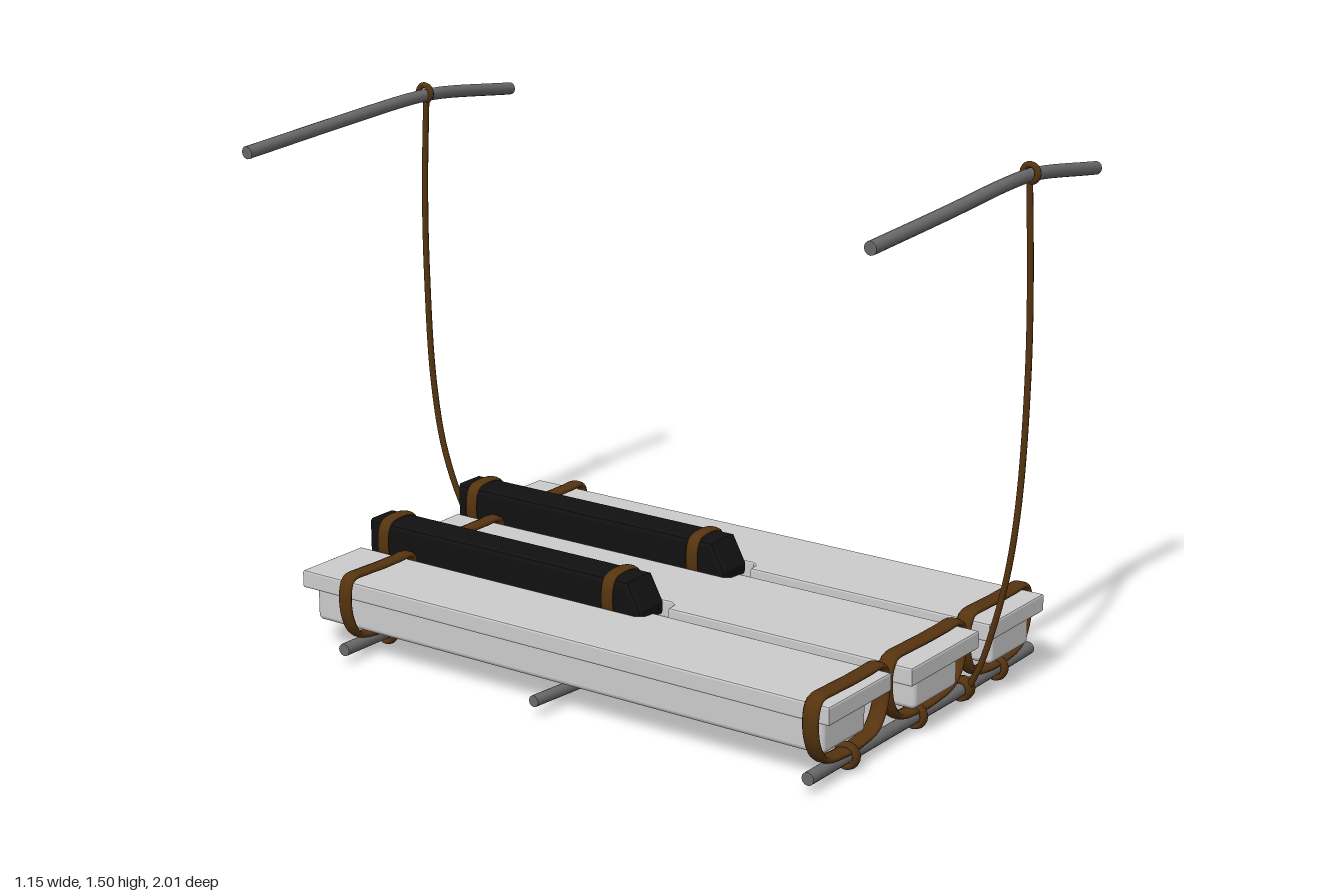
import * as THREE from 'three';
import { RoundedBoxGeometry } from 'three/addons/geometries/RoundedBoxGeometry.js';

const plankMat = new THREE.MeshStandardMaterial({ color: 0xcccccc });
const poleMat = new THREE.MeshStandardMaterial({ color: 0x6a6a6c });
const ropeMat = new THREE.MeshStandardMaterial({ color: 0x56340f });
const blackMat = new THREE.MeshStandardMaterial({ color: 0x111111 });

const curve = (pts, closed = false) =>
  new THREE.CatmullRomCurve3(pts.map(p => new THREE.Vector3(...p)), closed, 'centripetal');

export function createModel() {
  const model = new THREE.Group();

  const add = (name, geometry, material, x = 0, y = 0, z = 0) => {
    const mesh = new THREE.Mesh(geometry, material);
    mesh.name = name;
    mesh.position.set(x, y, z);
    model.add(mesh);
    return mesh;
  };

  const rope = (name, pts, radius = 0.009) =>
    add(name, new THREE.TubeGeometry(curve(pts), 40, radius, 8), ropeMat);

  // Closed band around something in the xy plane, stretched along z into a flat strap
  const strap = (name, pts, z, thickness, width) => {
    const g = new THREE.TubeGeometry(curve(pts.map(p => [p[0], p[1], 0]), true), 64, thickness / 2, 10, true);
    g.scale(1, 1, width / thickness);
    return add(name, g, ropeMat, 0, 0, z);
  };

  // Ring of rope around a pole running along x
  const ring = (name, x, y, z, radius = 0.024, width = 0.03) => {
    const g = new THREE.TorusGeometry(radius, 0.009, 8, 20);
    g.rotateY(Math.PI / 2);
    g.scale(width / 0.018, 1, 1);
    return add(name, g, ropeMat, x, y, z);
  };

  // Gently bent pole with capped ends
  const pole = (name, pts, radius) => {
    const path = curve(pts);
    add(name, new THREE.TubeGeometry(path, 24, radius, 12), poleMat);
    for (const t of [0, 1]) {
      const cap = add(name + 'End', new THREE.CircleGeometry(radius, 12), poleMat);
      cap.position.copy(path.getPointAt(t));
      const dir = path.getTangentAt(t).multiplyScalar(t ? 1 : -1);
      cap.quaternion.setFromUnitVectors(new THREE.Vector3(0, 0, 1), dir);
    }
  };

  // Plank tops with notches for the black blocks, and narrower keels underneath
  const b = 0.006;
  const plank = (name, outline, keel) => {
    const g = new THREE.ExtrudeGeometry(new THREE.Shape(outline.map(p => new THREE.Vector2(...p))), {
      depth: 0.052 - 2 * b, bevelThickness: b, bevelSize: b, bevelOffset: -b, bevelSegments: 2,
    });
    g.rotateX(Math.PI / 2);
    add(name + 'Top', g, plankMat, 0, 0.236 - b, 0);
    const [x0, x1, z0, z1] = keel;
    add(name + 'Keel', new RoundedBoxGeometry(x1 - x0, 0.115, z1 - z0, 3, 0.016), plankMat,
      (x0 + x1) / 2, 0.1475, (z0 + z1) / 2);
  };
  plank('rightPlank', [[-0.51, -0.885], [-0.265, -0.885], [-0.265, 0.085], [-0.25, 0.105], [-0.218, 0.11],
    [-0.218, 0.86], [-0.51, 0.86]], [-0.49, -0.285, -0.855, 0.83]);
  plank('middlePlank', [[-0.118, -0.85], [0.128, -0.85], [0.128, 0.1], [0.14, 0.118], [0.175, 0.122],
    [0.175, 0.89], [-0.165, 0.89], [-0.165, 0.122], [-0.13, 0.118], [-0.118, 0.1]], [-0.1, 0.122, -0.82, 0.86]);
  plank('leftPlank', [[0.278, -0.855], [0.525, -0.855], [0.525, 0.89], [0.23, 0.89], [0.23, 0.122],
    [0.265, 0.118], [0.278, 0.1]], [0.296, 0.505, -0.825, 0.86]);

  // Black blocks with a slanted nose, their straps and the ropes tying them to the poles
  for (const x of [-0.193, 0.203]) {
    const side = new THREE.Shape([[-0.865, 0.21], [0.09, 0.21], [0.09, 0.24], [0.048, 0.318], [-0.865, 0.318]]
      .map(p => new THREE.Vector2(...p)));
    const g = new THREE.ExtrudeGeometry(side, {
      depth: 0.086, bevelThickness: 0.015, bevelSize: 0.015, bevelOffset: -0.015, bevelSegments: 2,
    });
    g.translate(0, 0, -0.043);
    g.rotateY(-Math.PI / 2);
    add('blackBlock', g, blackMat, x, 0, 0);
    for (const [z, poleZ] of [[-0.805, -0.715], [-0.013, -0.02]]) {
      strap('blockStrap', [[-0.045, 0.321], [0.045, 0.321], [0.062, 0.3], [0.064, 0.23], [0.045, 0.202],
        [-0.045, 0.202], [-0.064, 0.23], [-0.062, 0.3]].map(p => [x + p[0], p[1]]), z, 0.012, 0.04);
      for (const s of [-1, 1]) {
        rope('blockTie', [[x + s * 0.05, 0.21, z], [x + s * 0.03, 0.13, (z + poleZ) / 2],
          [x + s * 0.008, 0.07, poleZ + 0.01], [x, 0.03, poleZ + 0.015]], 0.007);
      }
      ring('blockTieRing', x, 0.05, poleZ, 0.02, 0.022);
    }
  }

  // Cross poles beneath the planks
  pole('frontCrossPole', [[-0.55, 0.05, 0.825], [-0.2, 0.045, 0.82], [0.2, 0.042, 0.82], [0.57, 0.05, 0.825]], 0.018);
  pole('middleCrossPole', [[-0.55, 0.054, -0.04], [-0.2, 0.047, -0.02], [0.2, 0.047, -0.015], [0.57, 0.055, -0.035]], 0.016);
  pole('backCrossPole', [[-0.55, 0.05, -0.705], [-0.2, 0.045, -0.71], [0.2, 0.045, -0.71], [0.57, 0.05, -0.7]], 0.018);

  // Lashing loops around each plank, hanging down to the cross poles
  const lash = (x0, x1, z, width) => {
    const c = (x0 + x1) / 2, h = (x1 - x0) / 2;
    const pts = [[-0.88, 0.248], [-0.45, 0.252], [0, 0.25], [0.45, 0.25], [0.88, 0.247], [0.985, 0.215], [0.95, 0.14],
      [0.72, 0.082], [0.3, 0.066], [-0.3, 0.066], [-0.72, 0.082], [-0.95, 0.14], [-0.985, 0.215]];
    strap('plankLashing', pts.map(p => [c + h * p[0], p[1]]), z, 0.02, width);
  };
  lash(-0.533, -0.195, 0.82, 0.05);
  lash(-0.185, 0.195, 0.82, 0.05);
  lash(0.21, 0.548, 0.82, 0.05);
  lash(-0.533, -0.243, -0.71, 0.045);
  lash(-0.14, 0.15, -0.71, 0.045);
  lash(0.257, 0.548, -0.71, 0.045);
  for (const z of [0.82, -0.71]) {
    for (const x of [-0.36, -0.03, 0.395]) ring('poleLashing', x, 0.047, z, 0.029);
  }

  // Hanging ropes with knots at both ends
  rope('frontHangingRope', [[0.215, 0.05, 0.84], [0.212, 0.12, 0.875], [0.212, 0.23, 0.91], [0.212, 0.4, 0.95],
    [0.212, 0.615, 0.977], [0.212, 0.95, 0.99], [0.215, 1.2, 0.985], [0.217, 1.46, 0.972]]);
  rope('backHangingRope', [[0.19, 0.05, -0.725], [0.185, 0.12, -0.78], [0.18, 0.23, -0.865], [0.172, 0.4, -0.93],
    [0.167, 0.615, -0.965], [0.165, 0.95, -0.98], [0.163, 1.2, -0.978], [0.162, 1.46, -0.965]]);
  ring('frontRopeKnot', 0.215, 0.043, 0.82, 0.026, 0.045);
  ring('backRopeKnot', 0.19, 0.045, -0.715, 0.026, 0.04);
  ring('frontTopKnot', 0.217, 1.473, 0.974, 0.022, 0.018);
  ring('backTopKnot', 0.162, 1.473, -0.97, 0.022, 0.018);

  // Carrying poles at the top
  pole('frontCarryingPole', [[-0.54, 1.425, 0.972], [-0.2, 1.448, 0.978], [0.1, 1.466, 0.974],
    [0.25, 1.464, 0.968], [0.57, 1.425, 0.974]], 0.018);
  pole('backCarryingPole', [[-0.575, 1.422, -0.975], [-0.2, 1.448, -0.972], [0.1, 1.466, -0.968],
    [0.22, 1.464, -0.968], [0.56, 1.425, -0.975]], 0.018);

  return model;
}
